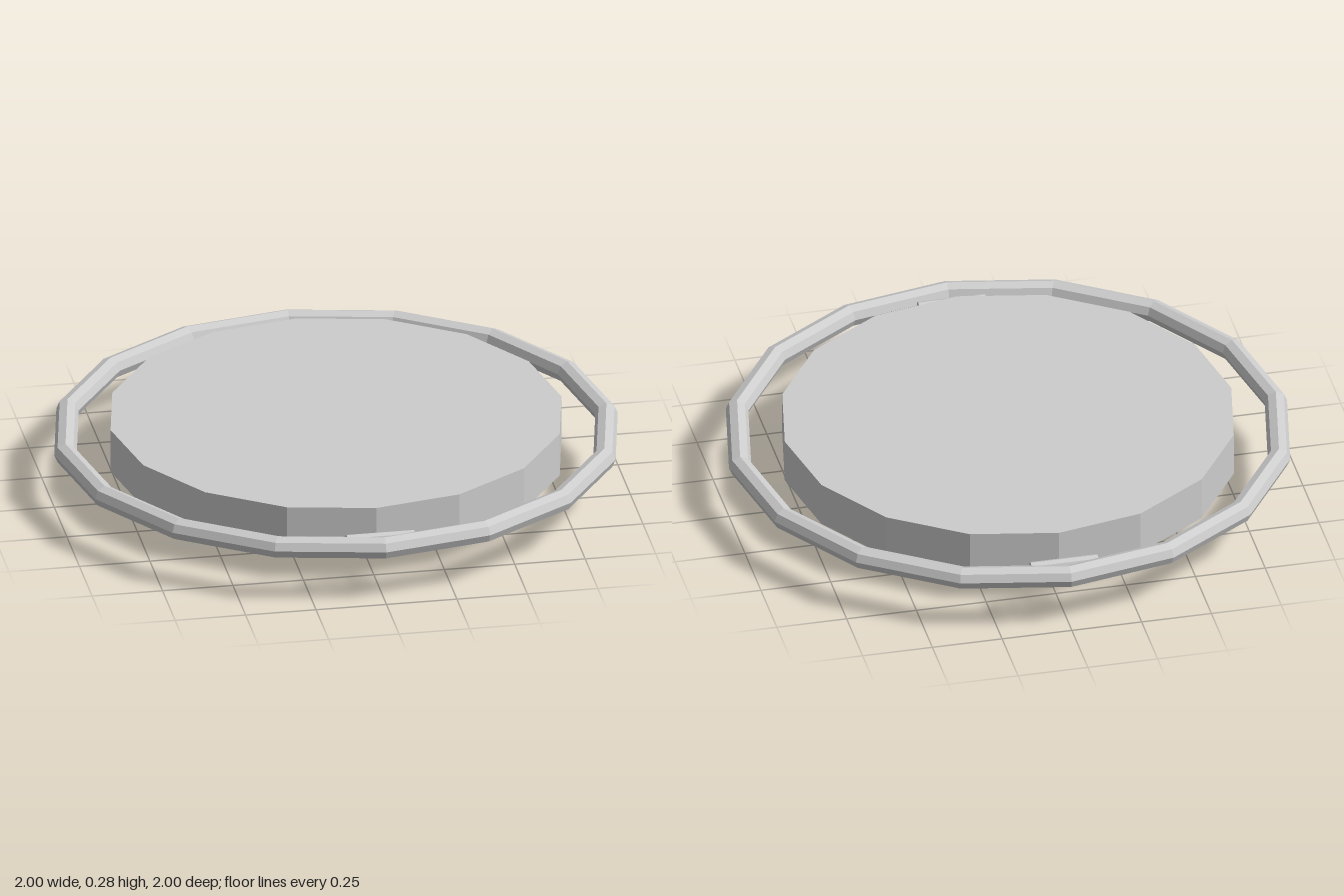
import * as THREE from 'three';

export function createModel() {
  const model = new THREE.Group();
  const grey = new THREE.MeshStandardMaterial({ color: 0xcccccc });
  grey.name = 'light grey';
  grey.flatShading = true;

  const add = (name, geometry, x, y, z) => {
    const mesh = new THREE.Mesh(geometry, grey);
    mesh.name = name;
    mesh.position.set(x, y, z);
    model.add(mesh);
    return mesh;
  };

  // Main sixteen-sided disc
  add('disc', new THREE.CylinderGeometry(0.8, 0.8, 0.16, 16), 0, 0.2, 0);

  // Outer ring lying flat around the disc
  add('outerRing', new THREE.TorusGeometry(0.96, 0.04, 8, 16).rotateX(Math.PI / 2), 0, 0.2, 0);

  // Short rods between disc and ring, front and back
  for (const [name, z] of [['frontRod', 0.88], ['backRod', -0.88]]) {
    add(name, new THREE.CylinderGeometry(0.022, 0.022, 0.24, 8).rotateZ(Math.PI / 2), 0, 0.2, z);
  }

  // Central stem under the disc
  add('stem', new THREE.CylinderGeometry(0.062, 0.062, 0.13, 8), 0, 0.065, 0);

  // Six round pads on the underside
  const padGeometry = new THREE.CylinderGeometry(0.12, 0.12, 0.03, 8);
  for (let i = 0; i < 6; i++) {
    const a = (i * Math.PI) / 3;
    add('pad' + (i + 1), padGeometry, 0.4 * Math.cos(a), 0.12, 0.4 * Math.sin(a));
  }

  return model;
}
